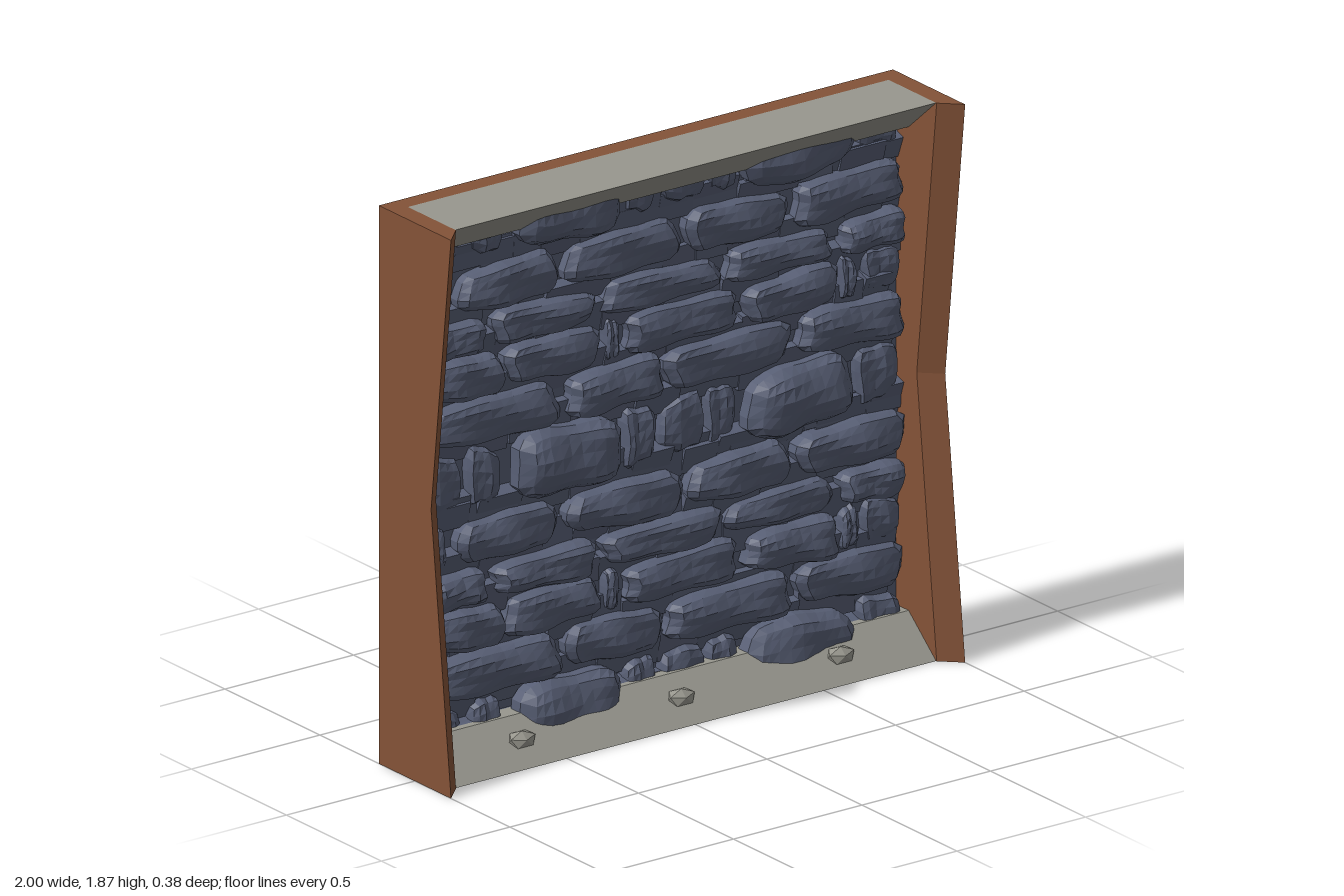
import * as THREE from 'three';

const stoneMat = new THREE.MeshStandardMaterial({ color: 0x585f75, flatShading: true });
stoneMat.name = 'slate blue stone';
const woodMat = new THREE.MeshStandardMaterial({ color: 0x845338, flatShading: true });
woodMat.name = 'brown frame';
const slabMat = new THREE.MeshStandardMaterial({ color: 0x98978e, flatShading: true });
slabMat.name = 'grey slab';

const H = 1.87, IN = 0.935, PERIOD = 0.84;

let seed = 7;
const rand = (a = 0, b = 1) => {
  seed = (seed * 16807) % 2147483647;
  return a + (b - a) * (seed / 2147483647);
};
const clamp = THREE.MathUtils.clamp;

function add(parent, name, geometry, material) {
  const mesh = new THREE.Mesh(geometry, material);
  mesh.name = name;
  parent.add(mesh);
  return mesh;
}

// Side post: mitred cross-section, pinched at mid height
function postGeometry(side) {
  const rings = [[0, 0.19], [H / 2, 0.085], [H, 0.19]].map(([y, z]) => {
    const ring = [[IN, -0.19], [IN, z - 0.062], [1, z], [1, -0.19]]
      .map(([x, pz]) => [x * side, y, pz]);
    return side > 0 ? ring : ring.reverse();
  });
  const pos = [];
  const quad = (a, b, c, d) => pos.push(...a, ...b, ...c, ...a, ...c, ...d);
  for (let j = 0; j < 2; j++) {
    for (let i = 0; i < 4; i++) {
      const k = (i + 1) % 4;
      quad(rings[j][i], rings[j][k], rings[j + 1][k], rings[j + 1][i]);
    }
  }
  quad(...rings[2]);
  quad(...[...rings[0]].reverse());
  const g = new THREE.BufferGeometry();
  g.setAttribute('position', new THREE.Float32BufferAttribute(pos, 3));
  g.computeVertexNormals();
  return g;
}

// Sloped slab: z-y outline extruded along x
function slabGeometry(yOuter, yInner) {
  const shape = new THREE.Shape([[-0.125, yOuter], [0.125, yOuter], [-0.02, yInner], [-0.125, yInner]]
    .map(([z, y]) => new THREE.Vector2(z, y)));
  return new THREE.ExtrudeGeometry(shape, { depth: 2 * IN, bevelEnabled: false })
    .rotateY(-Math.PI / 2).translate(IN, 0, 0);
}

// Rounded, uneven stone filling the given rectangle
function stoneGeometry(x0, x1, y0, y1, front) {
  const hx = (x1 - x0) / 2, hy = (y1 - y0) / 2, cx = (x0 + x1) / 2, cy = (y0 + y1) / 2;
  const boulder = hy > 0.1 && hx > 0.15;
  const p = boulder ? 3.2 : 5, back = -0.12, hz = (front - back) / 2;
  const g = new THREE.BoxGeometry(2, 2, 2, hx > 0.12 ? 9 : 5, 5, 3);
  const pos = g.attributes.position;
  const ph = rand(0, 6), taper = rand(-0.16, 0.16), bend = rand(-0.09, 0.09);
  for (let i = 0; i < pos.count; i++) {
    let x = pos.getX(i), y = pos.getY(i), z = pos.getZ(i);
    const r = (Math.abs(x) ** p + Math.abs(y) ** p + Math.abs(z) ** p) ** (1 / p);
    x /= r; y /= r; z /= r;
    const lump = 0.1 * Math.sin(5 * x + ph) + 0.1 * Math.sin(4 * y + 3 * x + 2 * ph);
    const yy = y * (0.97 + taper * x + 0.05 * Math.sin(6 * x + ph)) + bend * Math.sin(2.2 * x);
    const xx = x * (1 + 0.06 * Math.sin(3 * y + ph));
    const zz = z > 0 ? z * (1 + lump - 0.22 * y * y) : z;
    pos.setXYZ(i, clamp(cx + xx * hx, -IN, IN), clamp(cy + yy * hy, 0.02, H - 0.02),
      back + hz + zz * hz);
  }
  g.computeVertexNormals();
  return g;
}

// Courses of one repeat: bottom, top, then left/right ends of each stone
const courses = [
  [0.84, 1.03, [-0.93, -0.78, -0.75, -0.63, -0.15, -0.03, 0, 0.16, 0.18, 0.29, 0.76, 0.92]],
  [0.82, 1.05, [-0.59, -0.17, 0.31, 0.72]],
  [1.05, 1.2, [-0.92, -0.41, -0.37, -0.01, 0.01, 0.49, 0.53, 0.93]],
  [1.21, 1.35, [-0.93, -0.63, -0.61, -0.25, -0.22, -0.17, -0.14, 0.29, 0.32, 0.67, 0.69, 0.75, 0.79, 0.93]],
  [1.36, 1.475, [-0.93, -0.7, -0.66, -0.27, -0.23, 0.22, 0.25, 0.65, 0.69, 0.93]],
  [1.49, 1.64, [-0.93, -0.84, -0.79, -0.42, -0.37, 0.06, 0.1, 0.48, 0.52, 0.93]],
];

export function createModel() {
  const model = new THREE.Group();
  model.name = 'stoneWallPanel';

  // Frame
  const frame = new THREE.Group();
  frame.name = 'frame';
  model.add(frame);
  add(frame, 'backPanel', new THREE.BoxGeometry(2 * IN, H, 0.065).translate(0, H / 2, -0.1575), woodMat);
  add(frame, 'leftPost', postGeometry(1), woodMat);
  add(frame, 'rightPost', postGeometry(-1), woodMat);

  // Slabs closing the top and bottom
  add(model, 'bottomSlab', slabGeometry(0, 0.125), slabMat);
  add(model, 'topSlab', slabGeometry(H, H - 0.125), slabMat);

  // Pebbles on the bottom slope
  for (const x of [-0.62, 0, 0.62]) {
    const pebble = add(model, 'pebble', new THREE.IcosahedronGeometry(1, 0), slabMat);
    pebble.scale.set(0.056, 0.034, 0.026);
    pebble.rotation.x = -0.86;
    pebble.position.set(x, 0.068, 0.047);
  }

  // Mortar bed behind the stones
  const wall = new THREE.Group();
  wall.name = 'stoneWall';
  model.add(wall);
  add(wall, 'mortarBed', new THREE.BoxGeometry(2 * IN, H - 0.04, 0.04).translate(0, H / 2, -0.105), stoneMat);

  // Stones, repeated upwards; cut repeats are hidden inside the slabs
  for (const shift of [-PERIOD, 0, PERIOD]) {
    for (const [y0, y1, ends] of courses) {
      const low = y0 + shift, high = y1 + shift;
      if (high < 0.1 || low > H - 0.1) continue;
      for (let i = 0; i < ends.length; i += 2) {
        const wide = ends[i + 1] - ends[i] > 0.2;
        const front = y1 - y0 > 0.2 ? 0.03 : wide ? rand(-0.02, 0.005) : rand(-0.045, -0.025);
        add(wall, 'stone', stoneGeometry(ends[i], ends[i + 1], low, high, front), stoneMat);
      }
      // Small tilted filler blocks along the joint
      for (let x = -IN; x < IN - 0.06;) {
        const w = Math.min(rand(0.1, 0.26), IN - x), h = rand(0.07, 0.12);
        const y = clamp(low + rand(-0.02, 0.02), 0.08, H - 0.08);
        const block = add(wall, 'fillerBlock', new THREE.BoxGeometry(w, h, 0.05), stoneMat);
        block.rotation.x = rand(-0.05, 0.45);
        block.position.set(x + w / 2, y, rand(-0.092, -0.08));
        x += w;
      }
    }
  }
  return model;
}
